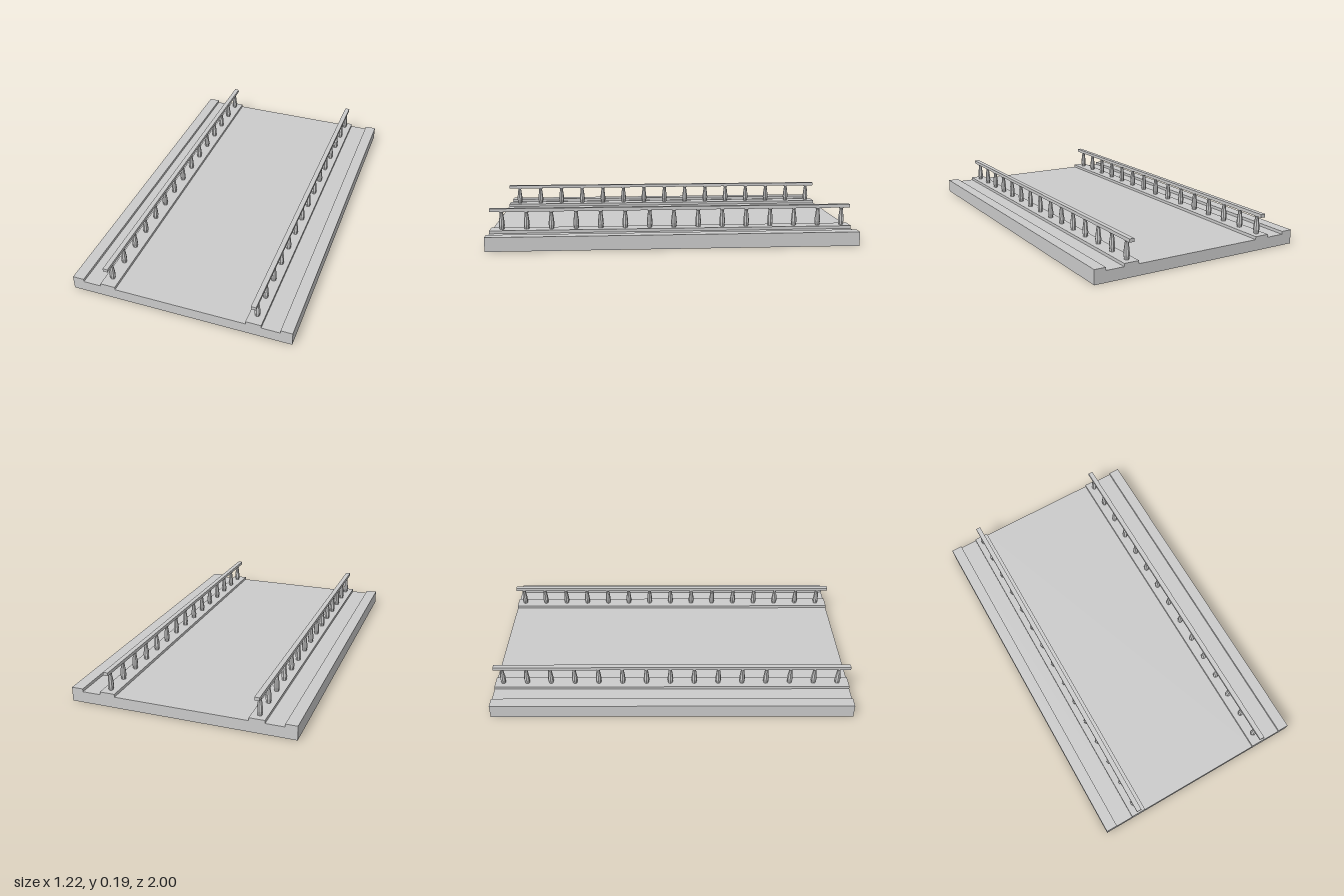
import * as THREE from 'three';

export function createModel() {
  const model = new THREE.Group();
  const material = new THREE.MeshStandardMaterial({ color: 0xcccccc, flatShading: true });
  const add = (name, geometry, x, y, z) => {
    const mesh = new THREE.Mesh(geometry, material);
    mesh.name = name;
    mesh.position.set(x, y, z);
    model.add(mesh);
  };

  // Deck slab with raised kerbs, one cross-section swept along z
  const half = [[0.362, 0.061], [0.362, 0.077], [0.445, 0.077], [0.445, 0.061],
    [0.545, 0.061], [0.545, 0.077], [0.608, 0.077], [0.608, 0]];
  const outline = [
    ...half.map(([x, y]) => new THREE.Vector2(x, y)),
    ...half.slice().reverse().map(([x, y]) => new THREE.Vector2(-x, y)),
  ];
  const deck = new THREE.ExtrudeGeometry(new THREE.Shape(outline), { depth: 2, bevelEnabled: false });
  add('deck', deck, 0, 0, -1);

  // Balustrades: a square rail on a row of turned balusters
  const profile = [[0.0125, 0.077], [0.0135, 0.084], [0.0163, 0.1], [0.0145, 0.125],
    [0.0095, 0.163], [0.0095, 0.168], [0.012, 0.171], [0.012, 0.176]]
    .map(([r, y]) => new THREE.Vector2(r, y));
  const baluster = new THREE.LatheGeometry(profile, 8);
  const rail = new THREE.BoxGeometry(0.027, 0.018, 2);
  for (const side of [-1, 1]) {
    const x = side * 0.404;
    add('handrail', rail, x, 0.184, 0);
    for (let i = 0; i < 15; i++) add('baluster', baluster, x, 0, 0.936 - i * 0.135);
  }
  return model;
}
